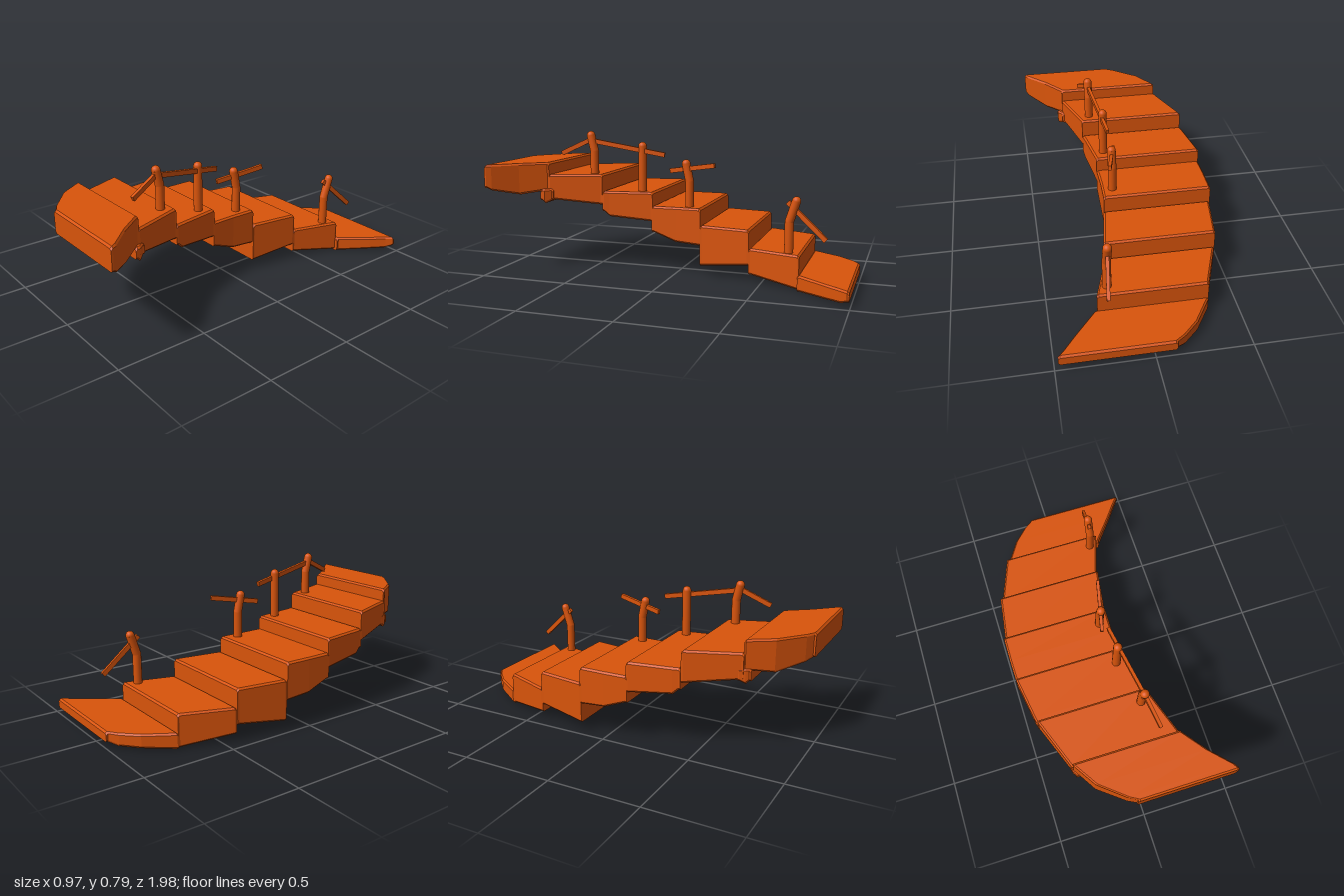
import * as THREE from 'three';

const material = new THREE.MeshStandardMaterial({ color: 0xd9540b, flatShading: true });
const smooth = new THREE.MeshStandardMaterial({ color: 0xd9540b });
const BEVEL = 0.01;

// Slab lofted along z; each station is [z, xLeft, xRight, yBottom]
function slab(name, top, stations) {
  const n = stations.length;
  const rows = [];
  stations.forEach(([z, l, r, b], i) => {
    const section = (zz, t) => [
      [l + BEVEL, b, zz], [r - BEVEL, b, zz], [r, b + BEVEL, zz],
      [r, t - BEVEL, zz], [r - BEVEL, t, zz], [l + BEVEL, t, zz],
      [l, t - BEVEL, zz], [l, b + BEVEL, zz]];
    // extra station at each end rounds off the nosing
    if (i === 0) rows.push(section(z, top - BEVEL), section(z + BEVEL, top));
    else if (i === n - 1) rows.push(section(z - BEVEL, top), section(z, top - BEVEL));
    else rows.push(section(z, top));
  });
  const k = 8, index = [], last = (rows.length - 1) * k;
  for (let i = 0; i < rows.length - 1; i++) {
    for (let j = 0; j < k; j++) {
      const a = i * k + j, b = i * k + (j + 1) % k;
      index.push(a, b, b + k, a, b + k, a + k);
    }
  }
  for (let j = 1; j < k - 1; j++) {
    index.push(0, j + 1, j, last, last + j, last + j + 1);
  }
  const g = new THREE.BufferGeometry();
  g.setAttribute('position', new THREE.Float32BufferAttribute(rows.flat(2), 3));
  g.setIndex(index);
  const flat = g.toNonIndexed();
  flat.computeVertexNormals();
  const mesh = new THREE.Mesh(flat, material);
  mesh.name = name;
  return mesh;
}

// Round post that may lean near its top, closed by a dome
function post(x, y0, y1, zBase, zTop) {
  const group = new THREE.Group();
  group.name = 'railPost';
  const r = 0.024, capY = y1 - r;
  const yBend = y0 + (capY - y0) * 0.6;
  const points = [[x, y0 - 0.03, zBase], [x, yBend, zBase], [x, capY, zTop]]
    .map(p => new THREE.Vector3(...p));
  for (let i = 0; i < 2; i++) {
    const dir = points[i + 1].clone().sub(points[i]);
    const shaft = new THREE.Mesh(new THREE.CylinderGeometry(r, r, dir.length(), 16), smooth);
    shaft.name = 'postShaft';
    shaft.position.copy(points[i]).addScaledVector(dir, 0.5);
    shaft.quaternion.setFromUnitVectors(new THREE.Vector3(0, 1, 0), dir.normalize());
    const joint = new THREE.Mesh(new THREE.SphereGeometry(r, 16, 10), smooth);
    joint.name = i ? 'postCap' : 'postBend';
    joint.position.copy(points[i + 1]);
    group.add(shaft, joint);
  }
  return group;
}

// Flat bar between two points
function rail(a, b) {
  const p = new THREE.Vector3(...a), q = new THREE.Vector3(...b);
  const mesh = new THREE.Mesh(new THREE.BoxGeometry(0.018, 0.026, p.distanceTo(q)), material);
  mesh.name = 'handrail';
  mesh.position.copy(p).lerp(q, 0.5);
  mesh.lookAt(q);
  return mesh;
}

export function createModel() {
  const model = new THREE.Group();
  model.name = 'curvedStaircase';

  // Treads, from the lowest at the back to the highest at the front
  const treads = [
    [0.085, [[-0.995, -0.11, 0.48, 0.03], [-0.95, -0.16, 0.45, 0.015],
      [-0.87, -0.24, 0.39, 0.01], [-0.71, -0.335, 0.27, 0]]],
    [0.185, [[-0.715, -0.335, 0.25, 0.005], [-0.43, -0.435, 0.17, 0.042]]],
    [0.285, [[-0.43, -0.44, 0.17, 0.09], [-0.145, -0.48, 0.13, 0.058]]],
    [0.377, [[-0.145, -0.485, 0.125, 0.17], [0, -0.487, 0.122, 0.18], [0.14, -0.485, 0.125, 0.23]]],
    [0.455, [[0.135, -0.483, 0.125, 0.29], [0.38, -0.447, 0.163, 0.312], [0.42, -0.44, 0.17, 0.34]]],
    [0.55, [[0.42, -0.435, 0.17, 0.378], [0.71, -0.335, 0.26, 0.41]]],
    [0.618, [[0.705, -0.325, 0.26, 0.46], [0.84, -0.245, 0.355, 0.443],
      [0.95, -0.11, 0.46, 0.475], [0.985, -0.065, 0.475, 0.49]]],
  ];
  treads.forEach(([top, stations], i) => model.add(slab(`step${i + 1}`, top, stations)));

  // Lip of the sixth step tucked below the top one
  model.add(slab('stepLip', 0.47, [[0.68, -0.34, 0.265, 0.405], [0.72, -0.33, 0.29, 0.39], [0.745, -0.32, 0.29, 0.405]]));

  // Posts: x, foot, tip, z of foot, z of tip
  [
    [0.12, 0.55, 0.79, 0.485, 0.505],
    [0.075, 0.455, 0.733, 0.21, 0.21],
    [0.065, 0.377, 0.642, -0.065, -0.045],
    [0.19, 0.185, 0.485, -0.65, -0.685],
  ].forEach(p => model.add(post(...p)));

  // Handrail pieces along the inner curve
  [
    [[0.118, 0.75, 0.49], [0.157, 0.663, 0.67]],
    [[0.122, 0.738, 0.51], [0.066, 0.662, 0.08]],
    [[0.04, 0.572, 0.055], [0.102, 0.617, -0.22]],
    [[0.185, 0.452, -0.64], [0.21, 0.265, -0.845]],
  ].forEach(([a, b]) => model.add(rail(a, b)));

  return model;
}
